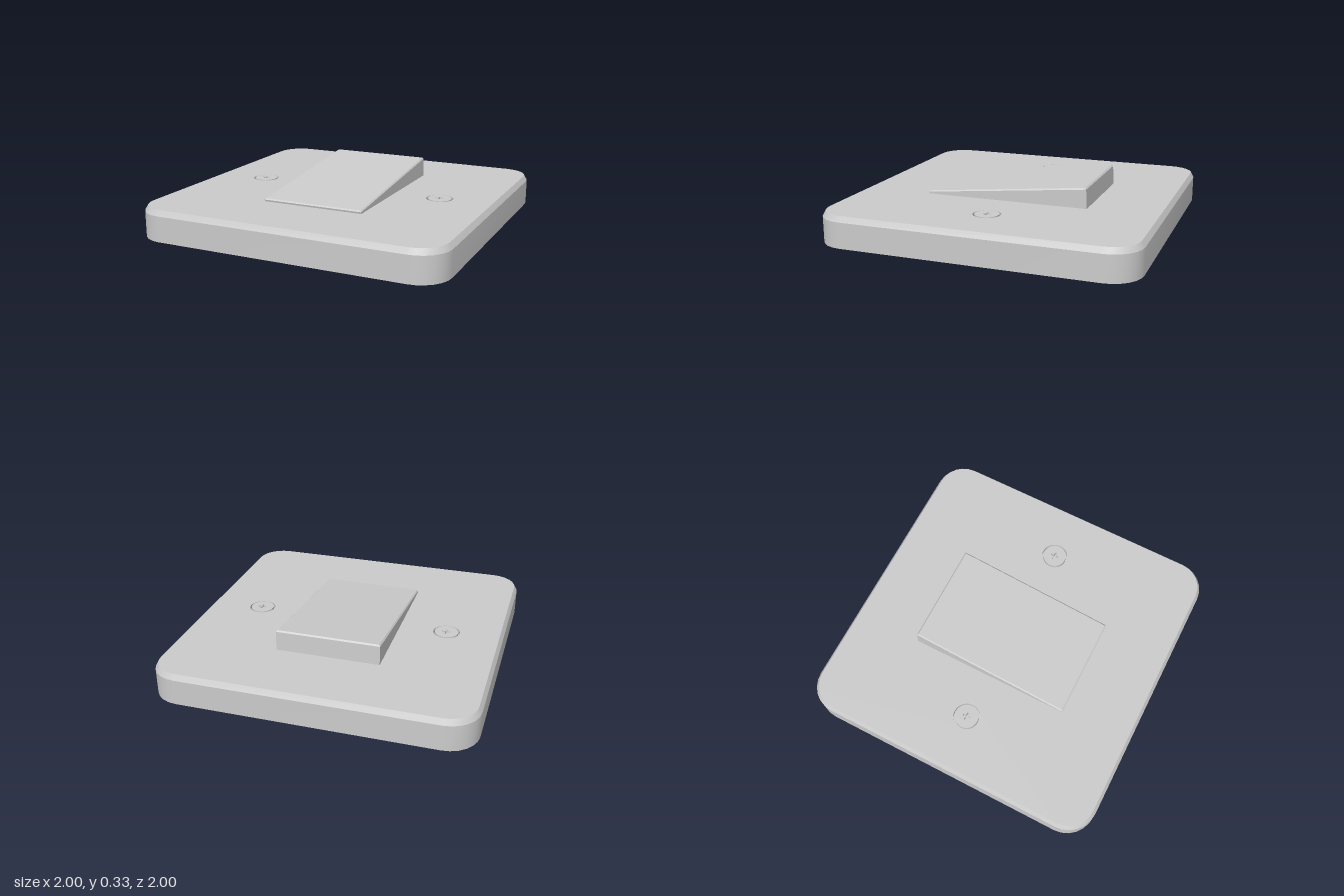
import * as THREE from 'three';
import { toCreasedNormals } from 'three/addons/utils/BufferGeometryUtils.js';

const SCREW_X = 0.64, POCKET_R = 0.086, HEAD_R = 0.076, TOP = 0.2, FLOOR = 0.17;
const grey = new THREE.MeshStandardMaterial({ color: 0xcccccc });
const greyDouble = new THREE.MeshStandardMaterial({ color: 0xcccccc, side: THREE.DoubleSide });

function addMesh(parent, name, geometry, material = grey) {
  const mesh = new THREE.Mesh(geometry, material);
  mesh.name = name;
  parent.add(mesh);
  return mesh;
}

// Counter-clockwise outline of a rounded square
function roundedSquare(half, radius, steps = 6) {
  const points = [];
  for (let q = 0; q < 4; q++) {
    const cx = (q === 0 || q === 3 ? 1 : -1) * (half - radius);
    const cy = (q < 2 ? 1 : -1) * (half - radius);
    for (let i = 0; i <= steps; i++) {
      const a = (q + i / steps) * Math.PI / 2;
      points.push(new THREE.Vector2(cx + radius * Math.cos(a), cy + radius * Math.sin(a)));
    }
  }
  return points;
}

// Walls between stacked rings of Vector3 (x, -z, height), with optional fan cap on top
function loft(rings, capTop = false) {
  const n = rings[0].length, index = [];
  for (let r = 0; r < rings.length - 1; r++) {
    for (let i = 0; i < n; i++) {
      const j = (i + 1) % n, a = r * n + i, b = r * n + j;
      index.push(a, b, b + n, a, b + n, a + n);
    }
  }
  const last = (rings.length - 1) * n;
  if (capTop) for (let i = 1; i < n - 1; i++) index.push(last, last + i, last + i + 1);
  const geometry = new THREE.BufferGeometry().setFromPoints(rings.flat());
  geometry.setIndex(index);
  geometry.rotateX(-Math.PI / 2);
  return toCreasedNormals(geometry, 0.45);
}

function createPlate() {
  const plate = new THREE.Group();
  plate.name = 'wallPlate';
  const outer = roundedSquare(1, 0.19), inner = roundedSquare(0.98, 0.17);
  const ring = (points, h) => points.map(p => new THREE.Vector3(p.x, p.y, h));
  addMesh(plate, 'plateSides', loft([ring(outer, 0), ring(outer, 0.165), ring(inner, TOP)]));

  // Face with the two screw holes
  const face = new THREE.Shape(inner);
  for (const s of [-1, 1]) {
    face.holes.push(new THREE.Path().absarc(s * SCREW_X, 0, POCKET_R, 0, Math.PI * 2, true));
  }
  addMesh(plate, 'plateFace', new THREE.ShapeGeometry(face, 16).rotateX(-Math.PI / 2)).position.y = TOP;
  addMesh(plate, 'plateBack', new THREE.ShapeGeometry(new THREE.Shape(outer)).rotateX(Math.PI / 2));
  return plate;
}

// Wedge-shaped rocker, high at the back, with a fine chamfer round the top
function createRocker() {
  const ring = (x, front, back, hFront, hBack) => [
    new THREE.Vector3(-x, -front, hFront), new THREE.Vector3(x, -front, hFront),
    new THREE.Vector3(x, -back, hBack), new THREE.Vector3(-x, -back, hBack),
  ];
  return loft([
    ring(0.333, 0.532, -0.532, TOP, TOP),
    ring(0.333, 0.535, -0.526, 0.211, 0.322),
    ring(0.325, 0.526, -0.517, 0.219, 0.331),
  ], true);
}

// Countersunk screw with a cross slot, in a shallow pocket
function createScrew() {
  const screw = new THREE.Group();
  screw.name = 'screw';
  const wall = new THREE.CylinderGeometry(POCKET_R, POCKET_R, TOP - FLOOR, 32, 1, true);
  addMesh(screw, 'pocketWall', wall, greyDouble).position.y = (TOP + FLOOR) / 2;
  addMesh(screw, 'pocketFloor', new THREE.CircleGeometry(POCKET_R, 32).rotateX(-Math.PI / 2)).position.y = FLOOR;

  const head = new THREE.Shape().absarc(0, 0, HEAD_R, 0, Math.PI * 2);
  const L = 0.026, w = 0.007, cross = [];
  for (let q = 0; q < 4; q++) {
    for (const [x, y] of [[L, -w], [L, w], [w, w]]) {
      cross.push(new THREE.Vector2(x, y).rotateAround(new THREE.Vector2(), q * Math.PI / 2));
    }
  }
  head.holes.push(new THREE.Path(cross.reverse()));
  const body = new THREE.ExtrudeGeometry(head, { depth: TOP + 0.002 - FLOOR, bevelEnabled: false, curveSegments: 32 });
  addMesh(screw, 'screwHead', toCreasedNormals(body.rotateX(-Math.PI / 2), 0.6)).position.y = FLOOR;
  return screw;
}

export function createModel() {
  const model = new THREE.Group();
  model.name = 'lightSwitch';
  model.add(createPlate());
  addMesh(model, 'rocker', createRocker());
  for (const [s, name] of [[1, 'leftScrew'], [-1, 'rightScrew']]) {
    const screw = createScrew();
    screw.name = name;
    screw.position.x = s * SCREW_X;
    model.add(screw);
  }
  return model;
}
